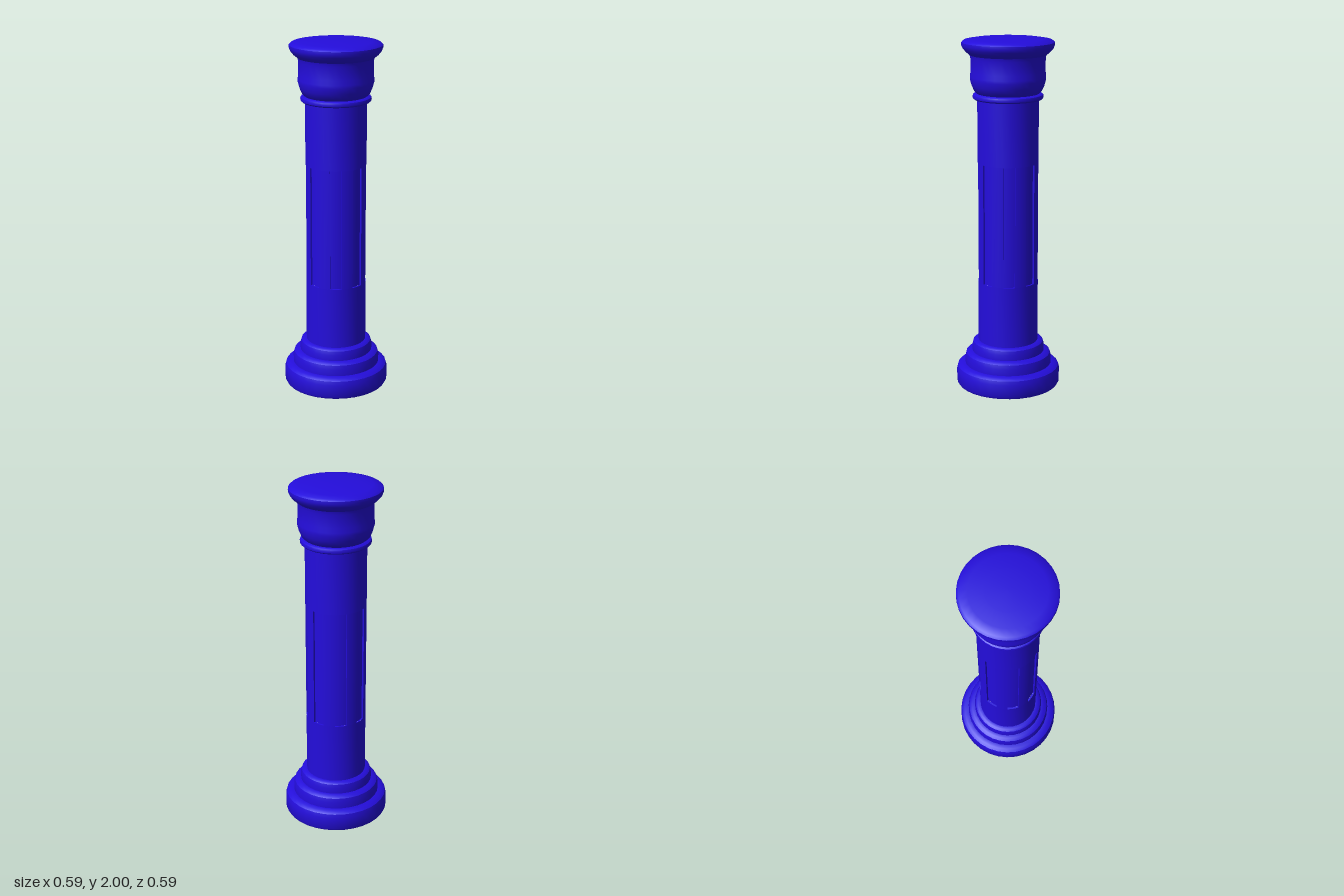
import * as THREE from 'three';
import { mergeGeometries, toCreasedNormals } from 'three/addons/utils/BufferGeometryUtils.js';

const SIDES = 32;
const SHAFT_R = 0.17, FLUTE_R = 0.16;
const FLUTE_BOTTOM = 0.62, FLUTE_TOP = 1.305;
const SECTOR = Math.PI / 8;

export function createModel() {
  const group = new THREE.Group();
  const material = new THREE.MeshStandardMaterial({ color: 0x240ddc });

  const add = (name, geometry) => {
    const mesh = new THREE.Mesh(geometry, material);
    mesh.name = name;
    group.add(mesh);
  };

  // Turned part from [radius, height] points, listed bottom to top
  const turned = (name, points) => {
    const profile = points.map(([r, y]) => new THREE.Vector2(r, y));
    add(name, toCreasedNormals(new THREE.LatheGeometry(profile, SIDES), 0.6));
  };

  // Stepped base, each step with a rounded upper edge
  turned('base', [
    [0, 0], [0.08, 0], [0.288, 0.006], [0.296, 0.02], [0.296, 0.09], [0.29, 0.112], [0.272, 0.125],
    [0.247, 0.127], [0.247, 0.165], [0.241, 0.188], [0.224, 0.2],
    [0.206, 0.202], [0.206, 0.235], [0.2, 0.257], [0.188, 0.266], [SHAFT_R, 0.267],
  ]);

  // Plain shaft below and above the flutes
  turned('lowerShaft', [[SHAFT_R, 0.267], [SHAFT_R, FLUTE_BOTTOM]]);
  turned('upperShaft', [[SHAFT_R, FLUTE_TOP], [SHAFT_R, 1.662]]);

  // Fluted middle: ribs alternate with shallow sunk panels
  const height = FLUTE_TOP - FLUTE_BOTTOM;
  const middle = (FLUTE_TOP + FLUTE_BOTTOM) / 2;
  const ribs = [], flutes = [];
  const face = (radius, start) =>
    new THREE.CylinderGeometry(radius, radius, height, 2, 1, true, start, SECTOR).translate(0, middle, 0);
  const wall = (angle, turn) => {
    const r = (SHAFT_R + FLUTE_R) / 2;
    return new THREE.PlaneGeometry(SHAFT_R - FLUTE_R, height)
      .rotateY(angle + turn)
      .translate(r * Math.sin(angle), middle, r * Math.cos(angle));
  };
  const ledge = (start) => new THREE.RingGeometry(FLUTE_R, SHAFT_R, 2, 1, start, SECTOR);
  for (let i = 0; i < 8; i++) {
    const rib = i * 2 * SECTOR, start = rib + SECTOR, end = start + SECTOR;
    ribs.push(face(SHAFT_R, rib));
    flutes.push(
      face(FLUTE_R, start),
      wall(start, Math.PI / 2),
      wall(end, -Math.PI / 2),
      ledge(start - Math.PI / 2).rotateX(-Math.PI / 2).translate(0, FLUTE_BOTTOM, 0),
      ledge(Math.PI / 2 - end).rotateX(Math.PI / 2).translate(0, FLUTE_TOP, 0),
    );
  }
  add('ribs', mergeGeometries(ribs));
  add('flutes', mergeGeometries(flutes));

  // Thin ring at the neck
  turned('neckRing', [
    [SHAFT_R, 1.66], [0.186, 1.66], [0.194, 1.667], [0.196, 1.676], [0.193, 1.686], [0.184, 1.692], [0.172, 1.693],
  ]);

  // Capital: swelling bell, flared rim and low domed top
  turned('capital', [
    [0.172, 1.692], [0.186, 1.705], [0.2, 1.735], [0.209, 1.768], [0.209, 1.785], [0.206, 1.81],
    [0.206, 1.885], [0.211, 1.903], [0.232, 1.92], [0.248, 1.938], [0.256, 1.957],
    [0.255, 1.972], [0.243, 1.982], [0.2, 1.989], [0.12, 1.996], [0, 2],
  ]);

  return group;
}
